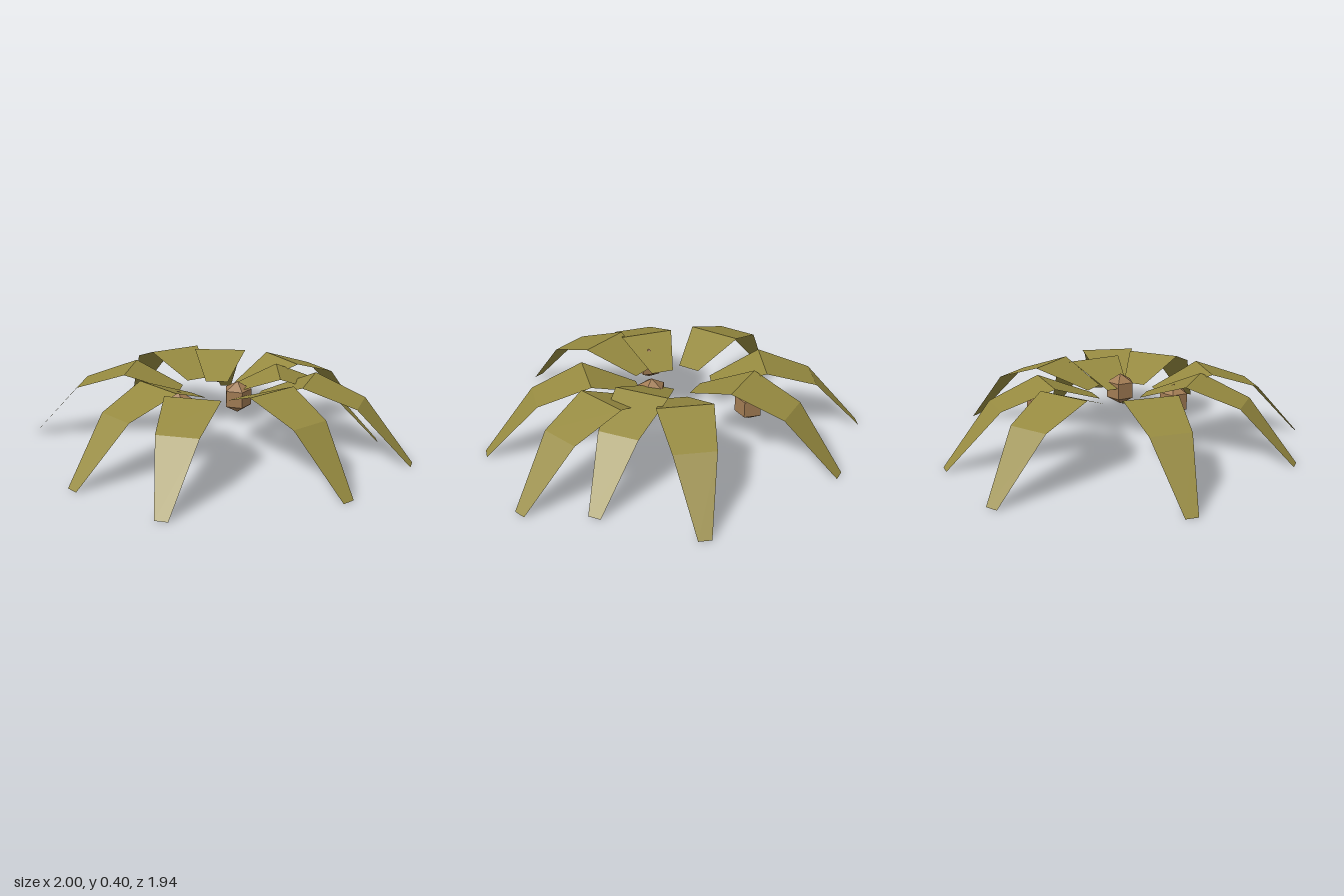
import * as THREE from 'three';

// Frond cross-sections: distance along the frond, height, half width
const SECTIONS = [
  [0, 0.29, 0.06],
  [0.272, 0.395, 0.144],
  [0.545, 0.3, 0.107],
  [0.817, 0, 0.033],
];

// Base x, base z, tip x, tip z of every frond
const FRONDS = [
  [-0.19, -0.04, -1.0, -0.177],
  [-0.103, -0.204, -0.483, -0.925],
  [0.004, -0.155, 0.073, -0.967],
  [0.136, -0.103, 0.825, -0.54],
  [0.055, 0, 0.87, 0],
  [0.219, 0.059, 0.985, 0.337],
  [0.104, 0.125, 0.602, 0.77],
  [-0.052, 0.169, -0.258, 0.957],
  [-0.094, 0.073, -0.695, 0.622],
];

const NUTS = [
  [0.11, 0.272, 0.045],
  [0.015, 0.272, -0.46],
  [-0.197, 0.272, 0.2],
];

// Folded strip running along +x, upper face outward
function frondGeometry() {
  const positions = [];
  const index = [];
  SECTIONS.forEach(([d, y, w], i) => {
    positions.push(d, y, -w, d, y, w);
    if (i === 0) return;
    const a = 2 * (i - 1);
    index.push(a, a + 1, a + 3, a, a + 3, a + 2);
  });
  const geometry = new THREE.BufferGeometry();
  geometry.setAttribute('position', new THREE.Float32BufferAttribute(positions, 3));
  geometry.setIndex(index);
  const flat = geometry.toNonIndexed();
  flat.computeVertexNormals();
  return flat;
}

export function createModel() {
  const group = new THREE.Group();
  group.name = 'palmCrown';

  const leaf = new THREE.MeshStandardMaterial({ color: 0x968a40, flatShading: true, side: THREE.DoubleSide });
  leaf.name = 'olive leaf';
  const shell = new THREE.MeshStandardMaterial({ color: 0xa17b53, flatShading: true });
  shell.name = 'brown shell';

  // Drooping fronds
  const frondShape = frondGeometry();
  FRONDS.forEach(([bx, bz, tx, tz], i) => {
    const frond = new THREE.Mesh(frondShape, leaf);
    frond.name = `frond${i + 1}`;
    frond.position.set(bx, 0, bz);
    frond.rotation.y = Math.atan2(bz - tz, tx - bx);
    group.add(frond);
  });

  // Five-sided nuts hanging beneath the fronds
  const nutShape = new THREE.SphereGeometry(0.085, 5, 3);
  nutShape.rotateY(Math.PI);
  NUTS.forEach((p, i) => {
    const nut = new THREE.Mesh(nutShape, shell);
    nut.name = `coconut${i + 1}`;
    nut.position.set(...p);
    group.add(nut);
  });

  return group;
}
